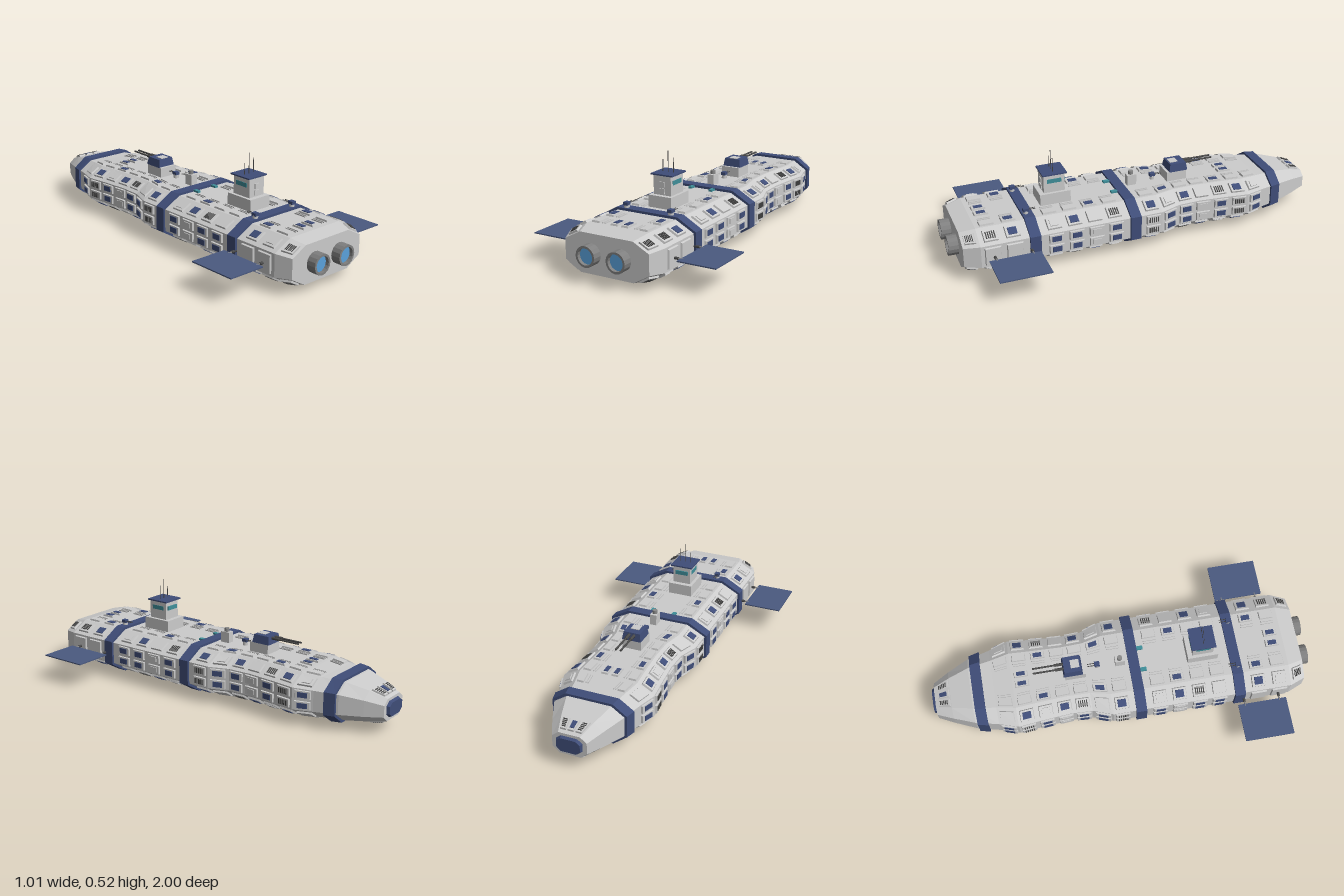
import * as THREE from 'three';
import { mergeGeometries } from 'three/addons/utils/BufferGeometryUtils.js';

const mat = (color) => new THREE.MeshStandardMaterial({ color });
const GREY = mat(0xcccccc), BLUE = mat(0x3f4d78), DARK = mat(0x4a4a4a), METAL = mat(0x8a8a8a);
const GLOW = mat(0x5aa2dc), TEAL = mat(0x3f8f9a), SOLAR = mat(0x4b5a80);

// hull stations: z, half width, bottom y, top y
const STATIONS = [
  [0.95, 0.23, 0.045, 0.24], [0.87, 0.262, 0.033, 0.256], [-0.075, 0.26, 0.033, 0.256],
  [-0.18, 0.222, 0.033, 0.256], [-0.3, 0.217, 0.033, 0.256], [-0.47, 0.23, 0.033, 0.253],
  [-0.57, 0.24, 0.034, 0.25], [-0.67, 0.207, 0.038, 0.243], [-0.79, 0.178, 0.045, 0.238],
  [-0.9, 0.13, 0.056, 0.212], [-0.985, 0.088, 0.07, 0.182],
];

function stationAt(z) {
  let i = 0;
  while (i < STATIONS.length - 2 && z < STATIONS[i + 1][0]) i++;
  const a = STATIONS[i], b = STATIONS[i + 1], t = (z - a[0]) / (b[0] - a[0]);
  return a.map((v, k) => v + (b[k] - v) * t);
}

// eight-sided cross-section, clockwise from the top left
function ring([z, w, lo, hi], grow = 0) {
  w += grow; lo -= grow; hi += grow;
  const a = w * 0.63, yl = lo + (hi - lo) * 0.25, yh = hi - (hi - lo) * 0.23;
  return [[-a, hi], [a, hi], [w, yh], [w, yl], [a, lo], [-a, lo], [-w, yl], [-w, yh]]
    .map(([x, y]) => new THREE.Vector3(x, y, z));
}

function loft(stations, grow = 0) {
  const rings = stations.map((s) => ring(s, grow)), pos = [];
  const tri = (...pts) => pts.forEach((p) => pos.push(p.x, p.y, p.z));
  const centre = (r) => r.reduce((s, p) => s.add(p), new THREE.Vector3()).divideScalar(8);
  const first = rings[0], last = rings[rings.length - 1], c0 = centre(first), c1 = centre(last);
  for (let k = 0; k < 8; k++) {
    const n = (k + 1) % 8;
    for (let i = 0; i < rings.length - 1; i++) {
      const r = rings[i], s = rings[i + 1];
      tri(r[k], r[n], s[n]);
      tri(r[k], s[n], s[k]);
    }
    tri(c0, first[n], first[k]);
    tri(c1, last[k], last[n]);
  }
  const g = new THREE.BufferGeometry();
  g.setAttribute('position', new THREE.Float32BufferAttribute(pos, 3));
  g.computeVertexNormals();
  return g;
}

// point on hull facet k, u across the facet, z along the hull
function onHull(k, u, z) {
  const r = ring(stationAt(z));
  return r[k].clone().lerp(r[(k + 1) % 8], u);
}

// bevelled plate that follows a hull facet
function plate(k, u, z, du, dz, h) {
  const g = new THREE.BoxGeometry(1, 1, 1).toNonIndexed(), p = g.attributes.position;
  const across = onHull(k, 1, z).sub(onHull(k, 0, z));
  const along = onHull(k, u, z + dz / 2).sub(onHull(k, u, z - dz / 2));
  const normal = along.cross(across).normalize();
  for (let i = 0; i < p.count; i++) {
    const top = p.getY(i) > 0, s = top ? 0.9 : 1;
    const v = onHull(k, u + p.getX(i) * du * s, z + p.getZ(i) * dz * s);
    v.addScaledVector(normal, top ? h : -0.004);
    p.setXYZ(i, v.x, v.y, v.z);
  }
  g.computeVertexNormals();
  return g;
}

export function createModel() {
  const model = new THREE.Group();
  const add = (name, geo, material, x = 0, y = 0, z = 0, parent = model) => {
    const m = new THREE.Mesh(geo, material);
    m.name = name;
    m.position.set(x, y, z);
    parent.add(m);
    return m;
  };
  const box = (name, material, w, h, d, x, y, z, parent) =>
    add(name, new THREE.BoxGeometry(w, h, d), material, x, y, z, parent);
  const rod = (name, material, r, len, axis, x, y, z, parent, sides = 8) => {
    const g = new THREE.CylinderGeometry(r, r, len, sides);
    if (axis === 'x') g.rotateZ(Math.PI / 2);
    if (axis === 'z') g.rotateX(Math.PI / 2);
    return add(name, g, material, x, y, z, parent);
  };
  const group = (name) => {
    const g = new THREE.Group();
    g.name = name;
    model.add(g);
    return g;
  };

  // hull and its blue bands
  add('hull', loft(STATIONS), GREY);
  for (const [z0, z1] of [[0.625, 0.57], [0.1, 0.045], [-0.725, -0.78]])
    add('hullBand', loft([stationAt(z0), stationAt(z1)], 0.012), BLUE);
  add('nosePlate', loft([[-0.98, 0.068, 0.085, 0.17], [-1, 0.06, 0.092, 0.162]]), BLUE);

  // hull plating: plain plates, windows and louvres
  const plates = [], windows = [], slats = [];
  const panel = (k, u, z, du, dz, kind) => {
    plates.push(plate(k, u, z, du, dz, 0.009));
    if (kind === 1) windows.push(plate(k, u, z, du * 0.65, dz * 0.65, 0.012));
    if (kind === 2) for (let i = -2; i <= 2; i++)
      slats.push(plate(k, u, z + i * dz * 0.14, du * 0.65, dz * 0.08, 0.012));
    if (kind === 3) plates.push(plate(k, u, z, du * 0.6, dz * 0.6, 0.013));
  };
  const rows = [0.81, 0.7, 0.49, 0.385, 0.28, 0.175, -0.025, -0.125, -0.225, -0.32, -0.42, -0.52, -0.62];
  rows.forEach((z, i) => {
    // bevels
    for (const k of [1, 3, 5, 7]) panel(k, 0.5, z, 0.62, 0.075, [2, 1, 3, 1, 0][(i + (k % 4 === 3 ? 2 : 0)) % 5]);
    // sides: two panes per row
    for (const k of [2, 6]) {
      if (z > 0.62) panel(k, 0.5, z, 0.85, 0.085, 0);
      else for (const u of [0.25, 0.75]) panel(k, u, z, 0.4, 0.08, [1, 2, 1, 1, 3][i % 5]);
    }
    // top and bottom edges
    for (const k of [0, 4]) for (const s of [-1, 1]) {
      panel(k, 0.5 + s * 0.4, z, 0.14, 0.075, (i + k / 4) % 3 === 1 ? 1 : 0);
      for (let j = 0; j < 2; j++) plates.push(plate(k, 0.5 + s * (0.25 + j * 0.04), z, 0.016, 0.07, 0.006));
      if (k === 4) panel(k, 0.5 + s * 0.12, z, 0.17, 0.08, [0, 1, 3, 0][i % 4]);
    }
  });
  for (const k of [1, 3, 5, 7]) panel(k, 0.5, 0.91, 0.6, 0.055, 2);
  for (const z of [0.81, -0.52]) for (const u of [0.41, 0.59]) panel(0, u, z, 0.12, 0.075, 1);
  for (const k of [0, 4]) for (const u of [0.18, 0.5, 0.82]) panel(k, u, -0.935, 0.26, 0.065, u === 0.5 ? 1 : 2);
  add('hullPlates', mergeGeometries(plates), GREY);
  add('hullWindows', mergeGeometries(windows), BLUE);
  add('hullLouvres', mergeGeometries(slats), DARK);

  // engines
  const nozzle = new THREE.LatheGeometry([[0.045, 0], [0.052, 0.01], [0.052, 0.06], [0.041, 0.06], [0.041, 0.035]]
    .map(([r, y]) => new THREE.Vector2(r, y)), 16).rotateX(Math.PI / 2);
  const nozzleMat = new THREE.MeshStandardMaterial({ color: 0x808080, flatShading: true, side: THREE.DoubleSide });
  for (const x of [-0.083, 0.083]) {
    add('engineNozzle', nozzle, nozzleMat, x, 0.143, 0.94);
    add('engineGlow', new THREE.CircleGeometry(0.042, 16), GLOW, x, 0.143, 0.982);
  }

  // solar wings
  for (const s of [-1, 1]) {
    const wing = group(s > 0 ? 'leftWing' : 'rightWing');
    box('solarPanel', SOLAR, 0.2, 0.006, 0.258, s * 0.404, 0.143, 0.712, wing);
    for (const z of [0.62, 0.805]) {
      rod('wingStrut', METAL, 0.004, 0.07, 'x', s * 0.28, 0.143, z, wing);
      rod('strutSocket', DARK, 0.007, 0.03, 'x', s * 0.276, 0.143, z, wing);
    }
  }

  // command tower
  const tower = group('tower');
  box('towerBase', GREY, 0.13, 0.065, 0.16, 0, 0.284, 0.43, tower);
  box('towerBody', GREY, 0.098, 0.105, 0.11, 0, 0.365, 0.43, tower);
  box('towerRoof', BLUE, 0.122, 0.007, 0.128, 0, 0.417, 0.428, tower);
  box('towerSideWindows', TEAL, 0.102, 0.022, 0.075, 0, 0.378, 0.43, tower);
  box('towerFrontWindow', TEAL, 0.07, 0.022, 0.01, 0, 0.378, 0.374, tower);
  for (const y of [0.337, 0.37]) box('towerDoorPanel', GREY, 0.028, 0.026, 0.008, 0, y, 0.486, tower);
  for (const [x, h] of [[-0.03, 0.06], [0, 0.105], [0.03, 0.075]])
    rod('antenna', DARK, 0.0018, h, 'y', x, 0.42 + h / 2, 0.43, tower, 6);

  // main twin-gun turret
  const turret = group('mainTurret');
  box('turretBase', GREY, 0.1, 0.055, 0.11, 0, 0.28, -0.24, turret);
  const head = new THREE.CylinderGeometry(0.062, 0.072, 0.042, 4, 1).rotateY(Math.PI / 4).toNonIndexed();
  head.computeVertexNormals();
  add('turretHead', head, BLUE, 0, 0.327, -0.25, turret);
  box('turretHatch', GREY, 0.045, 0.006, 0.045, 0, 0.348, -0.235, turret);
  for (const x of [-0.013, 0.013]) {
    rod('gunBarrel', DARK, 0.005, 0.17, 'z', x, 0.335, -0.37, turret);
    rod('barrelSleeve', DARK, 0.008, 0.06, 'z', x, 0.335, -0.31, turret);
  }

  // small guns
  const smallGun = (x, y, z, up, aim) => {
    const g = group('smallGun');
    rod('gunMount', GREY, 0.014, 0.02, 'y', x, y, z, g);
    box('gunHead', BLUE, 0.025, 0.016, 0.028, x, y + up * 0.016, z, g);
    for (const s of [-1, 1]) rod('smallBarrel', DARK, 0.002, 0.04, 'z', x + s * 0.006, y + up * 0.016, z + aim * 0.03, g, 6);
  };
  for (const x of [-0.125, 0.125]) smallGun(x, 0.272, 0.605, 1, -1);
  smallGun(0, 0.272, -0.12, 1, -1);
  smallGun(0, 0.028, 0.36, -1, -1);

  // deck sensor post and lamps
  box('sensorPost', GREY, 0.036, 0.06, 0.05, 0, 0.283, 0, model);
  rod('sensorCap', METAL, 0.013, 0.02, 'y', 0, 0.322, 0, model, 10);
  for (const x of [-0.06, 0.06]) box('deckLamp', TEAL, 0.02, 0.012, 0.035, x, 0.26, 0.115);
  return model;
}
